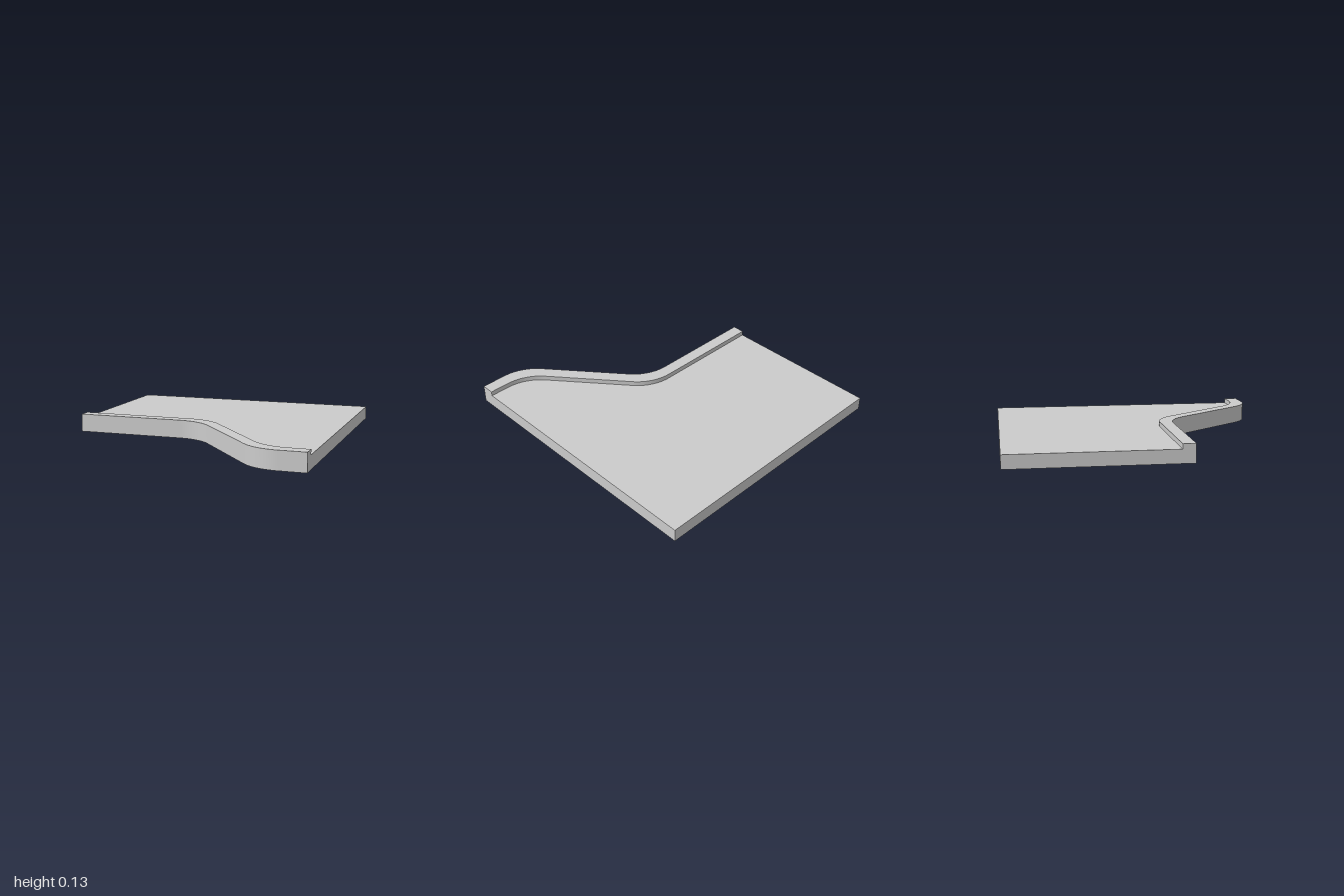
import * as THREE from 'three';
import { toCreasedNormals } from 'three/addons/utils/BufferGeometryUtils.js';

const HALF_WIDTH = 0.95;
const BACK = -1;
const PANEL_HEIGHT = 0.095;
const RIM_HEIGHT = 0.13;

// Arc points rounding the corner between a straight run along x and the slanted run
function fillet(cx, cz, startAngle, endAngle, radius, steps = 16) {
  return Array.from({ length: steps + 1 }, (_, i) => {
    const a = startAngle + ((endAngle - startAngle) * i) / steps;
    return new THREE.Vector2(cx + radius * Math.sin(a), cz + radius * Math.cos(a));
  });
}

// Stepped edge line in (x, z): straight, rounded bend, slant, rounded bend, straight
function edgeLine(bend1X, z1, bend2X, z2) {
  const radius = 0.335;
  const slant = Math.atan2(z2 - z1, bend2X - bend1X);
  const tangent = radius * Math.tan(slant / 2);
  return [
    new THREE.Vector2(-HALF_WIDTH, z1),
    ...fillet(bend1X - tangent, z1 + radius, Math.PI, Math.PI - slant, radius),
    ...fillet(bend2X + tangent, z2 - radius, -slant, 0, radius),
    new THREE.Vector2(HALF_WIDTH, z2),
  ];
}

// Upright extrusion of an outline given in (x, z), standing on y = 0
function upright(name, outline, height, material) {
  const shape = new THREE.Shape(outline.map((p) => new THREE.Vector2(p.x, -p.y)));
  const extruded = new THREE.ExtrudeGeometry(shape, { depth: height, bevelEnabled: false });
  extruded.rotateX(-Math.PI / 2);
  const mesh = new THREE.Mesh(toCreasedNormals(extruded, Math.PI / 6), material);
  mesh.name = name;
  return mesh;
}

export function createModel() {
  const model = new THREE.Group();
  model.name = 'steppedPanel';
  const material = new THREE.MeshStandardMaterial({ color: 0xcccccc });

  const outer = edgeLine(-0.015, 0.245, 0.609, 1);
  const inner = edgeLine(0.031, 0.155, 0.65, 0.905);

  // Flat panel behind the rim
  const panel = [
    ...inner,
    new THREE.Vector2(HALF_WIDTH, BACK),
    new THREE.Vector2(-HALF_WIDTH, BACK),
  ];
  model.add(upright('panel', panel, PANEL_HEIGHT, material));

  // Raised rim following the stepped front edge
  const rim = [...outer, ...inner.slice().reverse()];
  model.add(upright('frontRim', rim, RIM_HEIGHT, material));

  return model;
}
